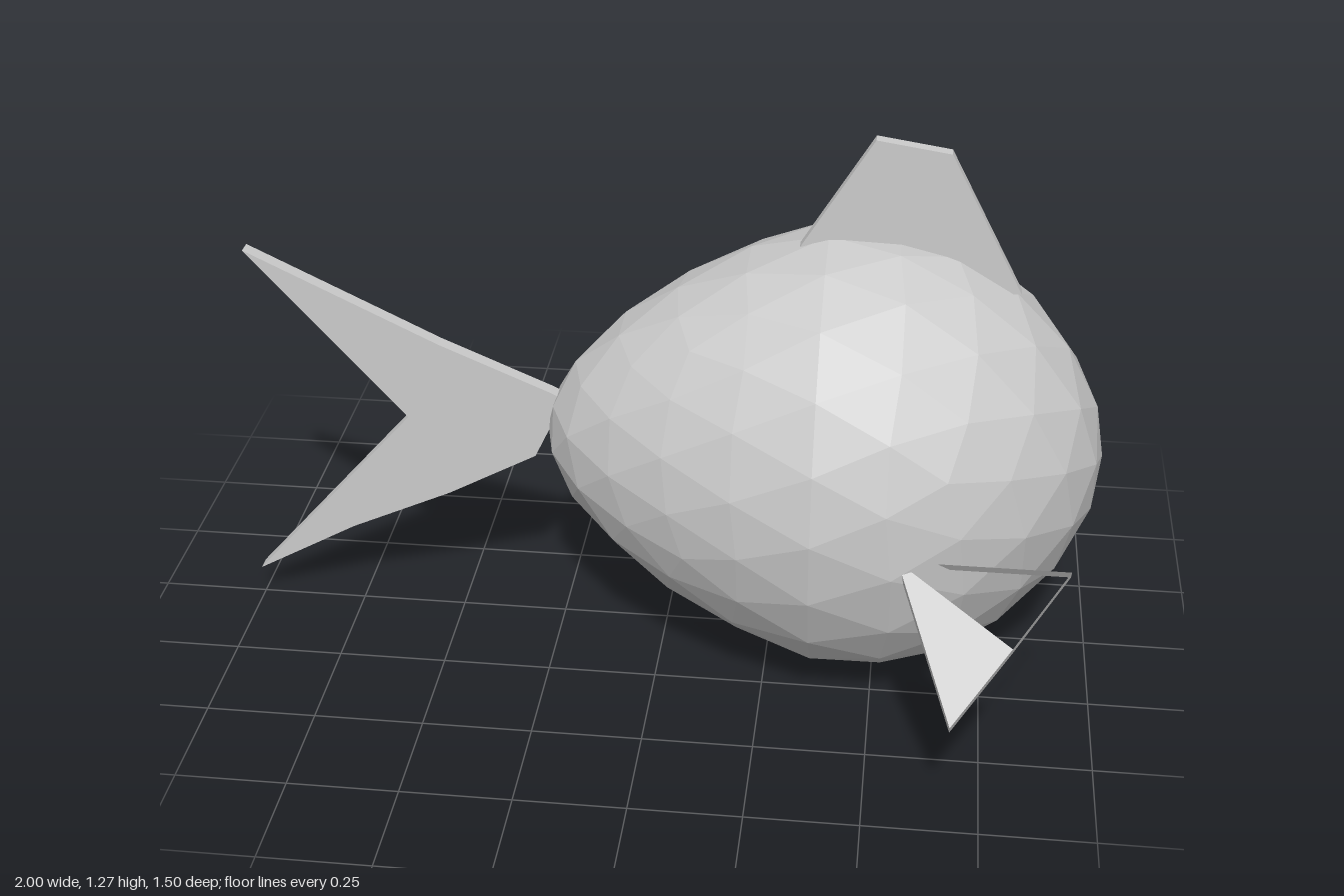
import * as THREE from 'three';

const material = new THREE.MeshStandardMaterial({ color: 0xcccccc, flatShading: true });
const thinMaterial = new THREE.MeshStandardMaterial({ color: 0xcccccc, flatShading: true, side: THREE.DoubleSide });

// Faceted egg-shaped body: an icosphere with its pole on the nose, narrowed toward the tail
function bodyGeometry() {
  const geometry = new THREE.IcosahedronGeometry(1, 3);
  geometry.rotateZ(-Math.atan((1 + Math.sqrt(5)) / 2));
  const p = geometry.attributes.position;
  for (let i = 0; i < p.count; i++) {
    const t = p.getX(i);
    const k = t < 0 ? 0.515 + 0.15 * t : 0.515 + 0.1 * t - 0.12 * t * t;
    p.setXYZ(i, 0.36 + 0.64 * t, 0.513 + p.getY(i) * k, p.getZ(i) * k * 0.935);
  }
  geometry.computeVertexNormals();
  return geometry;
}

// Flat fin in the XY plane, centred on z = 0
function flatFin(name, outline, thickness) {
  const shape = new THREE.Shape(outline.map(([x, y]) => new THREE.Vector2(x, y)));
  const geometry = new THREE.ExtrudeGeometry(shape, { depth: thickness, bevelEnabled: false });
  geometry.translate(0, 0, -thickness / 2);
  const mesh = new THREE.Mesh(geometry, material);
  mesh.name = name;
  return mesh;
}

// Sloping side fin: a triangular rim whose rear half is filled and front half is open
function sideFinGeometry() {
  const root = new THREE.Vector3(0, 0.46, 0.435);
  const slope = new THREE.Vector3(0, -0.546, 0.838);
  const normal = new THREE.Vector3(0, 0.838, 0.546);
  const outline = [[0.55, 0], [0.675, 0.37], [0.8, 0.185], [0.92, 0]];
  const points = [];
  for (const side of [1, -1]) {
    for (const [x, v] of outline) {
      const q = root.clone().addScaledVector(slope, v).addScaledVector(normal, side * 0.0125);
      points.push(x, q.y, q.z);
    }
  }
  const index = [0, 1, 2, 4, 6, 5];
  for (let i = 0; i < 4; i++) {
    const j = (i + 1) % 4;
    index.push(i, i + 4, j, j, i + 4, j + 4);
  }
  const indexed = new THREE.BufferGeometry();
  indexed.setAttribute('position', new THREE.Float32BufferAttribute(points, 3));
  indexed.setIndex(index);
  const geometry = indexed.toNonIndexed();
  geometry.computeVertexNormals();
  return geometry;
}

export function createModel() {
  const fish = new THREE.Group();
  fish.name = 'fish';

  const body = new THREE.Mesh(bodyGeometry(), material);
  body.name = 'body';
  fish.add(body);

  // Forked tail
  fish.add(flatFin('tailFin', [
    [-0.24, 0.59], [-0.27, 0.605], [-0.53, 0.715], [-0.975, 0.93], [-0.61, 0.52],
    [-1, 0.075], [-0.76, 0.21], [-0.52, 0.32], [-0.31, 0.435], [-0.27, 0.52],
  ], 0.036));

  // Back fin
  fish.add(flatFin('dorsalFin', [
    [0.285, 0.985], [0.455, 1.265], [0.62, 1.24], [0.79, 0.915], [0.6, 0.92],
  ], 0.03));

  // Mirrored side fins
  const finGeometry = sideFinGeometry();
  for (const side of [1, -1]) {
    const fin = new THREE.Mesh(finGeometry, thinMaterial);
    fin.name = side > 0 ? 'frontSideFin' : 'backSideFin';
    fin.scale.z = side;
    fish.add(fin);
  }
  return fish;
}
